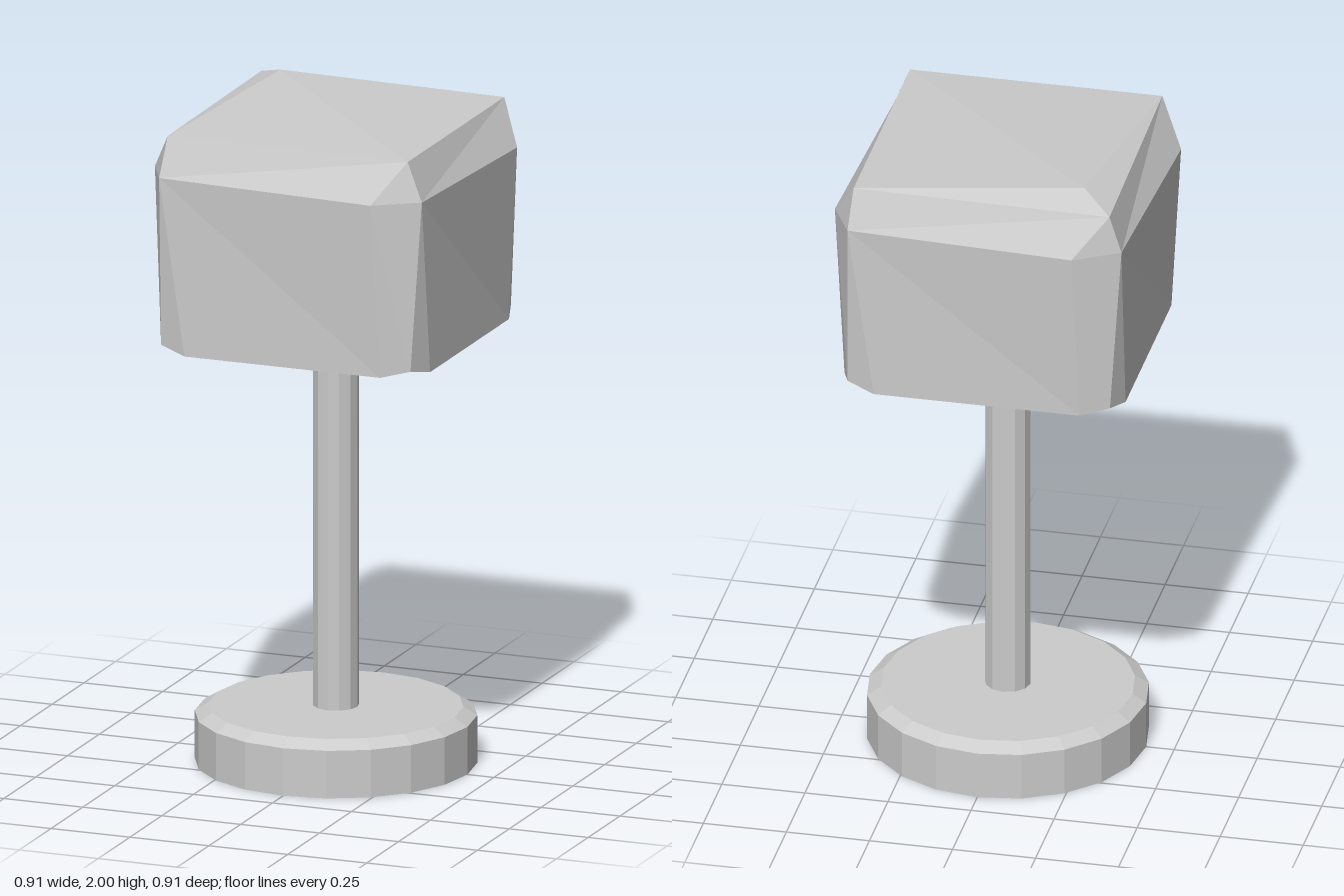
import * as THREE from 'three';

const material = new THREE.MeshStandardMaterial({
  color: 0xcccccc, flatShading: true, side: THREE.DoubleSide,
});

function mesh(name, geometry) {
  const m = new THREE.Mesh(geometry, material);
  m.name = name;
  return m;
}

// Quarter turn about the vertical axis, applied n times
function turn([x, y, z], n) {
  for (let i = 0; i < n; i++) [x, z] = [z, -x];
  return [x, y, z];
}

// Open-bottomed box shade with chamfered, slightly twisted corners
function shadeGeometry() {
  const peak = [-0.295, 2.0, -0.295];
  const corners = [0, 1, 2, 3].map((n) => ({
    a: turn([0.292, 1.842, 0.456], n), // shoulder, two points per corner
    b: turn([0.428, 1.848, 0.388], n),
    f: turn([0.31, 1.31, 0.423], n), // lower rim, three points per corner
    k: turn([0.395, 1.33, 0.395], n),
    s: turn([0.423, 1.31, 0.31], n),
    t: n === 2 ? [-0.392, 1.962, -0.388] : turn([0.38, 1.965, 0.38], n), // top corner
  }));
  const points = [];
  const tri = (...p) => points.push(...p.flat());
  const quad = (p, q, r, s) => { tri(p, q, r); tri(p, r, s); };
  corners.forEach((c, i) => {
    const d = corners[(i + 1) % 4];
    tri(c.a, c.f, c.k); // corner chamfer
    tri(c.a, c.k, c.b);
    tri(c.b, c.k, c.s);
    quad(c.b, c.s, d.f, d.a); // side wall
    tri(c.a, c.b, c.t); // top bevel
    quad(c.b, d.a, d.t, c.t);
    tri(peak, c.t, d.t); // top
  });
  const g = new THREE.BufferGeometry();
  g.setAttribute('position', new THREE.Float32BufferAttribute(points, 3));
  g.computeVertexNormals();
  return g;
}

export function createModel() {
  const group = new THREE.Group();
  group.name = 'tableLamp';

  // Hollow base: flat top, narrow bevel, straight rim, open underneath
  const profile = [[0.416, 0], [0.416, 0.145], [0.375, 0.17], [0, 0.17]]
    .map(([r, y]) => new THREE.Vector2(r, y));
  group.add(mesh('base', new THREE.LatheGeometry(profile, 20)));

  // Pole passes through the base and ends inside the shade
  const bottom = 0.11, top = 1.55;
  const pole = mesh('pole', new THREE.CylinderGeometry(0.068, 0.068, top - bottom, 12, 1, true));
  pole.position.y = (top + bottom) / 2;
  group.add(pole);
  const cap = mesh('poleCap', new THREE.CircleGeometry(0.068, 12));
  cap.rotation.x = -Math.PI / 2;
  cap.position.y = top;
  group.add(cap);

  group.add(mesh('shade', shadeGeometry()));
  return group;
}
